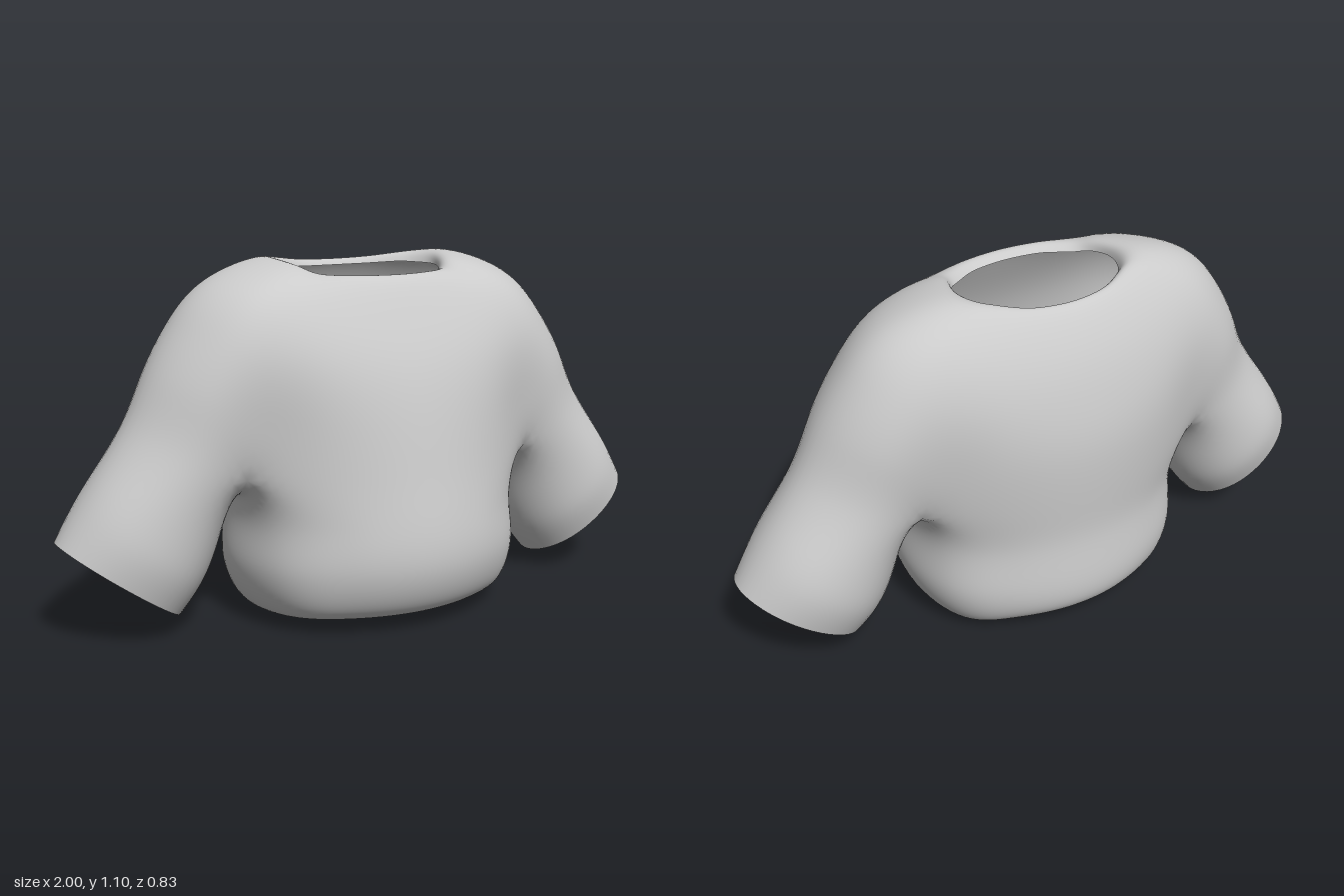
import * as THREE from 'three';

const lerp = THREE.MathUtils.lerp;

// Front (or back) panel: centre line to pinch point; power 1 is a soft bell, less is rounder.
function panel(cz, cy, px, py, pz, power) {
  return [0, 1, 2, 3].map(i => {
    const t = i / 3, w = i === 3 ? 0 : Math.cos(t * Math.PI / 2) ** power;
    return [px * t, lerp(py, cy, w), lerp(pz, cz, w)];
  });
}

// Yoke section: 11 points from front centre round the shoulder to back centre.
// c: centre [zFront, yFront, zBack, yBack], p: pinch [x, yF, zF, yB, zB], o: outer point, k: fullness
function yokeRow([c, p, o, k, power]) {
  const f = panel(c[0], c[1], p[0], p[1], p[2], power);
  const b = panel(c[2], c[3], p[0], p[3], p[4], power).reverse();
  const between = q => [lerp(q[0], o[0], 0.6), lerp(q[1], o[1], 0.6), lerp(o[2], q[2], k)];
  return [...f, between(f[3]), o, between(b[0]), ...b];
}

// Body section below the armpits: 9 points.
function bodyRow([c, p, side]) {
  return [
    ...panel(c[0], c[1], p[0], p[1], p[2], 0.7), side,
    ...panel(c[2], c[3], p[0], p[3], p[4], 0.7).reverse()];
}

// Sleeve section: 6 points round an ellipse from inner [x,y] to outer [x,y].
function sleeveRow([inner, outer, zc, rz]) {
  return [120, 60, 0, -60, -120, 180].map(deg => {
    const a = deg * Math.PI / 180, t = (1 + Math.cos(a)) / 2;
    return [lerp(inner[0], outer[0], t), lerp(inner[1], outer[1], t), zc + rz * Math.sin(a)];
  });
}

const yoke = [
  [[0.12, 1.03, -0.24, 1.045], [0.2, 1.033, 0.055, 1.053, -0.175], [0.26, 1.052, -0.06], 0.66, 0.65],
  [[0.17, 1.043, -0.275, 1.058], [0.24, 1.055, 0.095, 1.082, -0.2], [0.31, 1.095, -0.09], 0.66, 0.75],
  [[0.235, 0.94, -0.345, 0.945], [0.37, 0.985, 0.15, 0.99, -0.25], [0.505, 1.035, -0.08], 0.68, 0.95],
  [[0.30, 0.80, -0.39, 0.80], [0.43, 0.83, 0.2, 0.83, -0.29], [0.63, 0.91, -0.07], 0.72, 0.95],
  [[0.345, 0.64, -0.412, 0.64], [0.46, 0.65, 0.19, 0.65, -0.28], [0.715, 0.775, -0.055], 0.82, 0.95],
  [[0.38, 0.46, -0.405, 0.45], [0.485, 0.48, 0.15, 0.48, -0.235], [0.79, 0.63, -0.05], 0.95, 0.9],
].map(yokeRow);

const body = [
  [[0.405, 0.33, -0.40, 0.32], [0.41, 0.33, 0.18, 0.33, -0.225], [0.45, 0.32, -0.03]],
  [[0.412, 0.2, -0.412, 0.18], [0.41, 0.2, 0.2, 0.18, -0.24], [0.465, 0.19, -0.03]],
  [[0.37, 0.088, -0.398, 0.08], [0.375, 0.078, 0.195, 0.06, -0.235], [0.435, 0.07, -0.03]],
  [[0.312, 0.045, -0.34, 0.033], [0.33, 0.033, 0.155, 0.003, -0.2], [0.37, 0.012, -0.03]],
  [[0.25, 0.04, -0.27, 0.033], [0.27, 0.033, 0.125, 0.002, -0.16], [0.315, 0.012, -0.03]],
].map(bodyRow);

const sleeve = [
  [[0.517, 0.25], [0.885, 0.483], -0.048, 0.203],
  [[0.575, 0.13], [0.95, 0.39], -0.048, 0.199],
  [[0.64, 0.045], [1.0, 0.31], -0.045, 0.172],
].map(sleeveRow);

// Cage of quads: yoke splits at the armpit into body and sleeve, then is mirrored.
function buildCage() {
  const points = [], quads = [], ids = new Map();
  const id = p => {
    const key = p.map(v => Math.round(v * 1e4)).join();
    if (!ids.has(key)) { ids.set(key, points.length); points.push(p.slice()); }
    return ids.get(key);
  };
  const flip = p => [p[0] === 0 ? 0 : -p[0], p[1], p[2]];
  const strip = (rows, closed) => {
    for (let r = 0; r + 1 < rows.length; r++) {
      const n = rows[r].length;
      for (let c = 0; c < (closed ? n : n - 1); c++) {
        const d = (c + 1) % n;
        const q = [rows[r][c], rows[r + 1][c], rows[r + 1][d], rows[r][d]];
        quads.push(q.map(id), q.map(flip).reverse().map(id));
      }
    }
  };
  const split = yoke[yoke.length - 1], armpit = [0.475, 0.4, -0.04];
  strip(yoke, false);
  strip([[...split.slice(0, 4), armpit, ...split.slice(7)], ...body], false);
  strip([[...split.slice(3, 8), armpit], ...sleeve], true);
  return { points, quads };
}

// One step of Catmull-Clark smoothing; cage points keep their index.
function subdivide({ points, quads }) {
  const n = points.length, out = points.map(() => null), edges = new Map(), next = [];
  const mean = list => [0, 1, 2].map(k => list.reduce((s, p) => s + p[k], 0) / list.length);
  const around = points.map(() => ({ faces: [], mids: [], rim: [] }));
  const key = (a, b) => Math.min(a, b) * 100000 + Math.max(a, b);
  const centres = quads.map(q => mean(q.map(i => points[i])));
  quads.forEach((q, f) => q.forEach((a, i) => {
    const b = q[(i + 1) % 4], k = key(a, b);
    if (!edges.has(k)) edges.set(k, { a, b, faces: [] });
    edges.get(k).faces.push(centres[f]);
    around[a].faces.push(centres[f]);
  }));
  for (const e of edges.values()) {
    const A = points[e.a], B = points[e.b], mid = mean([A, B]);
    e.id = out.length;
    out.push(e.faces.length === 2 ? mean([A, B, ...e.faces]) : mid);
    for (const v of [e.a, e.b]) {
      around[v].mids.push(mid);
      if (e.faces.length === 1) around[v].rim.push(mid);
    }
  }
  for (let i = 0; i < n; i++) {
    const { faces, mids, rim } = around[i], P = points[i], m = mids.length;
    if (rim.length) out[i] = mean([P, P, ...rim]);
    else {
      const F = mean(faces), M = mean(mids);
      out[i] = P.map((v, k) => (F[k] + 2 * M[k] + (m - 3) * v) / m);
    }
  }
  quads.forEach((q, f) => {
    const c = out.push(centres[f]) - 1;
    q.forEach((a, i) => next.push([
      a, edges.get(key(a, q[(i + 1) % 4])).id, c, edges.get(key(q[(i + 3) % 4], a)).id]));
  });
  return { points: out, quads: next };
}

export function createModel() {
  const cage = buildCage(), target = cage.points.map(p => p.slice());
  // Push the cage outward so the smoothed surface passes through the sections.
  for (let i = 0; i < 4; i++) {
    const soft = subdivide(subdivide(cage));
    cage.points.forEach((p, j) => p.forEach((v, k) => { p[k] = v + target[j][k] - soft.points[j][k]; }));
  }
  const { points, quads } = subdivide(subdivide(subdivide(cage)));

  const geometry = new THREE.BufferGeometry();
  geometry.setAttribute('position', new THREE.Float32BufferAttribute(points.flat(), 3));
  geometry.setIndex(quads.flatMap(([a, b, c, d]) => [a, b, c, a, c, d]));
  geometry.computeVertexNormals();

  // Open knitted shell: neck, hem and both cuffs are holes
  const sweater = new THREE.Mesh(geometry,
    new THREE.MeshStandardMaterial({ color: 0xcccccc, side: THREE.DoubleSide }));
  sweater.name = 'sweater';
  const group = new THREE.Group();
  group.name = 'shortSleeveSweater';
  group.add(sweater);
  return group;
}
